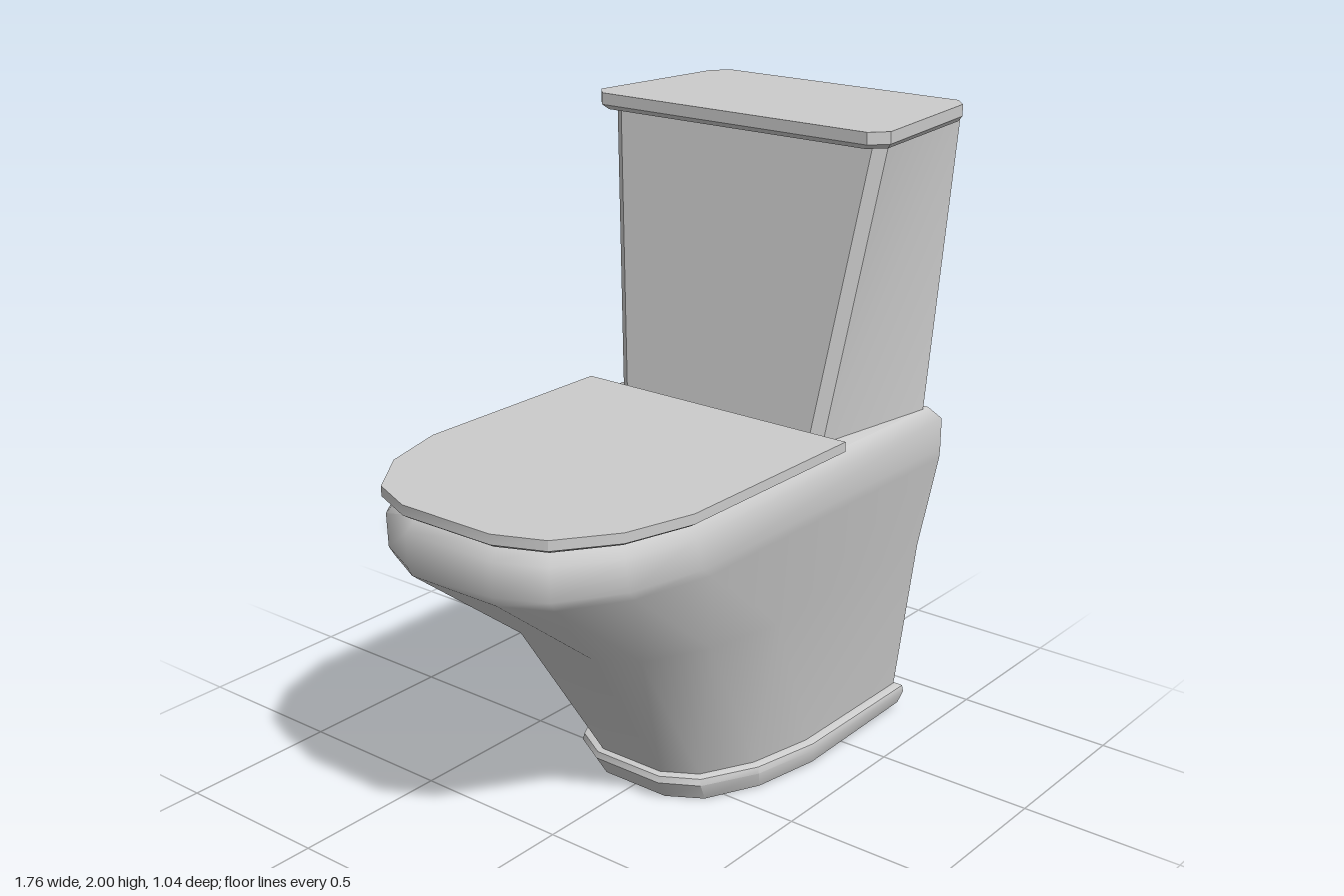
import * as THREE from 'three';
import { toCreasedNormals } from 'three/addons/utils/BufferGeometryUtils.js';

const material = new THREE.MeshStandardMaterial({ color: 0xcccccc });

// Skins a stack of rings (bottom to top, points [x, y, z], clockwise from above) and caps both ends.
function loft(name, rings, creaseDegrees) {
  const n = rings[0].length;
  const last = rings.length - 1;
  const positions = rings.flat(2);
  const index = [];
  for (let r = 0; r < last; r++) {
    for (let i = 0; i < n; i++) {
      const j = (i + 1) % n;
      const a = r * n + i, b = r * n + j;
      index.push(a, a + n, b, b, a + n, b + n);
    }
  }
  for (const r of [0, last]) {
    const c = positions.length / 3;
    for (let k = 0; k < 3; k++) positions.push(rings[r].reduce((s, p) => s + p[k], 0) / n);
    for (let i = 0; i < n; i++) {
      const a = r * n + i, b = r * n + (i + 1) % n;
      if (r === 0) index.push(c, a, b);
      else index.push(c, b, a);
    }
  }
  const geometry = new THREE.BufferGeometry();
  geometry.setAttribute('position', new THREE.Float32BufferAttribute(positions, 3));
  geometry.setIndex(index);
  const mesh = new THREE.Mesh(
    toCreasedNormals(geometry.toNonIndexed(), THREE.MathUtils.degToRad(creaseDegrees)), material);
  mesh.name = name;
  return mesh;
}

// Completes a ring from its +z half, mirrored across z.
const mirrored = (half) => [...half, ...half.map(([x, y, z]) => [x, y, -z]).reverse()];

// D-shaped ring: square at the back, rounded from x = shoulder to x = front.
const NOSE = [[1, 1], [0.51, 0.875], [0.14, 0.63], [0, 0.33]];
function dRing(y, front, shoulder, back, w, tilt = 0) {
  const half = [[back, w], ...NOSE.map(([u, v]) => [front + u * (shoulder - front), v * w])];
  return mirrored(half.map(([x, z]) => [x, y + tilt * (x - front), z]));
}

// Four-sided ring with cut corners, front and back widths differing.
function tankRing(y, front, back, frontW, backW, cutX, cutZ) {
  return mirrored([
    [back, y, backW - cutZ], [back - cutX, y, backW],
    [front + cutX, y, frontW], [front, y, frontW - cutZ],
  ]);
}

export function createModel() {
  const group = new THREE.Group();
  group.name = 'toilet';

  // Plinth, its underside rising slightly to the back
  group.add(loft('plinth', [
    dRing(0, -0.12, 0.32, 0.81, 0.35, 0.02),
    dRing(0.065, -0.16, 0.3, 0.81, 0.37),
    dRing(0.085, -0.155, 0.3, 0.81, 0.365),
    dRing(0.092, -0.14, 0.3, 0.8, 0.35),
  ], 40));

  // Bowl and pedestal in one flowing body
  group.add(loft('bowl', [
    dRing(0.085, -0.135, 0.3, 0.795, 0.34),
    dRing(0.6, -0.47, 0.05, 0.795, 0.405),
    dRing(0.91, -0.865, -0.36, 0.795, 0.468),
    dRing(0.94, -0.88, -0.4, 0.795, 0.47),
    dRing(1.04, -0.88, -0.43, 0.795, 0.47),
    dRing(1.08, -0.845, -0.42, 0.76, 0.44),
  ], 55));

  // Closed seat lid with a bevelled underside
  group.add(loft('seatLid', [
    dRing(1.077, -0.865, -0.44, 0.25, 0.46),
    dRing(1.09, -0.885, -0.45, 0.25, 0.48),
    dRing(1.12, -0.885, -0.45, 0.25, 0.48),
  ], 30));

  // Tank leaning back, its front face widening upwards
  group.add(loft('tank', [
    tankRing(1.07, 0.26, 0.755, 0.375, 0.44, 0.025, 0.035),
    tankRing(1.96, 0.375, 0.87, 0.49, 0.45, 0.025, 0.035),
  ], 25));

  // Tank lid
  group.add(loft('tankLid', [
    tankRing(1.95, 0.325, 0.87, 0.505, 0.455, 0.045, 0.045),
    tankRing(1.965, 0.31, 0.88, 0.52, 0.465, 0.05, 0.045),
    tankRing(2, 0.31, 0.88, 0.52, 0.465, 0.05, 0.045),
  ], 25));

  return group;
}
